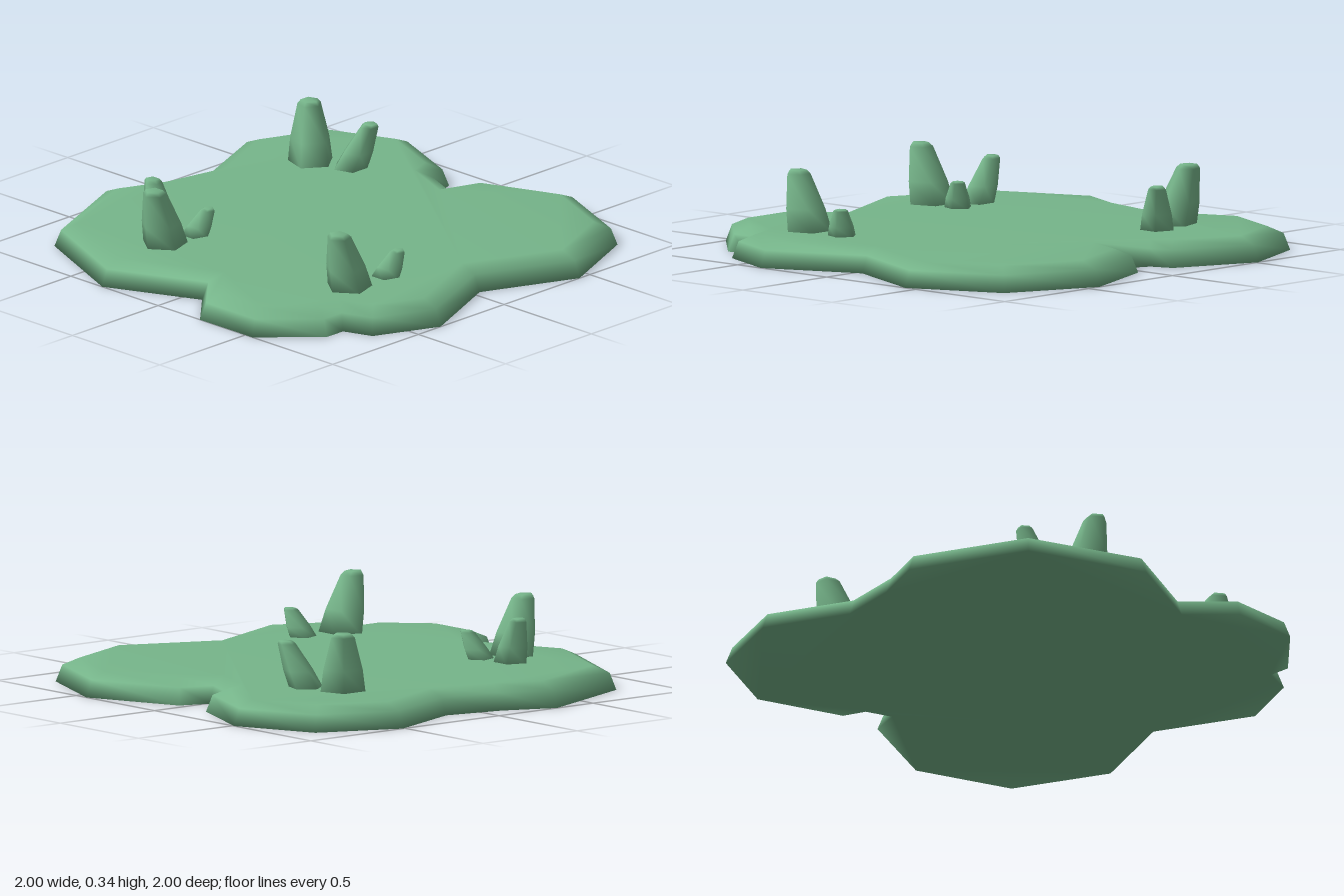
import * as THREE from 'three';

// Outline of the slab on the ground, as [x, z]
const OUTLINE = [
  [-0.51, -1], [-0.155, -0.855], [-0.12, -0.76], [-0.01, -0.715], [0.035, -0.84],
  [0.435, -1], [0.83, -0.835], [1, -0.44], [0.825, -0.035], [1, 0.37],
  [0.88, 0.645], [0.755, 0.69], [0.755, 0.785], [0.54, 1], [0.24, 1],
  [0.08, 0.825], [-0.32, 1], [-0.8, 0.79], [-1, 0.31], [-0.905, 0.09],
  [-0.855, -0.16], [-1, -0.51], [-0.855, -0.855],
].map(([x, z]) => new THREE.Vector2(x, z));

// Moves every edge of an outline inward by d
function inset(points, d) {
  const n = points.length;
  return points.map((p, i) => {
    const a = p.clone().sub(points[(i + n - 1) % n]).normalize();
    const b = points[(i + 1) % n].clone().sub(p).normalize();
    const na = new THREE.Vector2(-a.y, a.x);
    const nb = new THREE.Vector2(-b.y, b.x);
    const k = d / Math.max(0.4, 1 + na.dot(nb));
    return p.clone().addScaledVector(na.add(nb), k);
  });
}

// Joins rings of equal length into a closed, smooth-shaded solid
function loft(rings) {
  const n = rings[0].points.length;
  const positions = [], index = [];
  for (const { y, points } of rings) for (const p of points) positions.push(p.x, y, p.y);
  for (let r = 0; r < rings.length - 1; r++) {
    for (let i = 0; i < n; i++) {
      const a = r * n + i, b = r * n + (i + 1) % n;
      index.push(a, a + n, b + n, a, b + n, b);
    }
  }
  const cap = (r, up) => {
    const pts = rings[r].points;
    for (const [a, b, c] of THREE.ShapeUtils.triangulateShape(pts.slice(), [])) {
      const facesDown = THREE.ShapeUtils.area([pts[a], pts[b], pts[c]]) > 0;
      const t = facesDown === up ? [a, c, b] : [a, b, c];
      index.push(...t.map((v) => v + r * n));
    }
  };
  cap(0, false);
  cap(rings.length - 1, true);
  const geometry = new THREE.BufferGeometry();
  geometry.setAttribute('position', new THREE.Float32BufferAttribute(positions, 3));
  geometry.setIndex(index);
  geometry.computeVertexNormals();
  return geometry;
}

// Five-sided stump leaning from its base centre to its top centre
function stump({ base, top, height, radius, turn }) {
  const y0 = 0.09;
  const levels = [[0, 1], [0.4, 0.87], [0.94, 0.52], [1, 0.38]];
  return loft(levels.map(([t, scale]) => {
    const points = [];
    for (let i = 0; i < 5; i++) {
      const a = turn + (i / 5) * Math.PI * 2;
      points.push(new THREE.Vector2(
        THREE.MathUtils.lerp(base[0], top[0], t) + Math.cos(a) * radius * scale,
        THREE.MathUtils.lerp(base[1], top[1], t) + Math.sin(a) * radius * scale,
      ));
    }
    return { y: y0 + (height - y0) * t, points };
  }));
}

export function createModel() {
  const model = new THREE.Group();
  const green = new THREE.MeshStandardMaterial({ color: 0x76b58a });
  green.name = 'mossGreen';

  const add = (name, geometry) => {
    const mesh = new THREE.Mesh(geometry, green);
    mesh.name = name;
    model.add(mesh);
  };

  // Flat slab with a rounded upper rim
  add('slab', loft([
    { y: 0, points: OUTLINE },
    { y: 0.07, points: inset(OUTLINE, 0.025) },
    { y: 0.1, points: inset(OUTLINE, 0.09) },
  ]));

  // Three clusters of stumps
  const Q = Math.PI / 2;
  const stumps = {
    backRightTall: { base: [-0.565, -0.47], top: [-0.615, -0.51], height: 0.345, radius: 0.098, turn: 0 },
    backRightMedium: { base: [-0.41, -0.53], top: [-0.345, -0.59], height: 0.29, radius: 0.074, turn: Q * 2 },
    frontRightMedium: { base: [-0.445, 0.525], top: [-0.52, 0.505], height: 0.29, radius: 0.074, turn: Q },
    frontRightSmall: { base: [-0.3, 0.485], top: [-0.255, 0.445], height: 0.215, radius: 0.06, turn: -Q },
    frontRightTall: { base: [-0.31, 0.645], top: [-0.31, 0.71], height: 0.345, radius: 0.098, turn: Q },
    frontLeftTall: { base: [0.59, 0.485], top: [0.59, 0.55], height: 0.345, radius: 0.098, turn: Q },
    frontLeftSmall: { base: [0.6, 0.287], top: [0.645, 0.255], height: 0.215, radius: 0.062, turn: -Q },
  };
  for (const [name, spec] of Object.entries(stumps)) add(name + 'Stump', stump(spec));

  return model;
}
